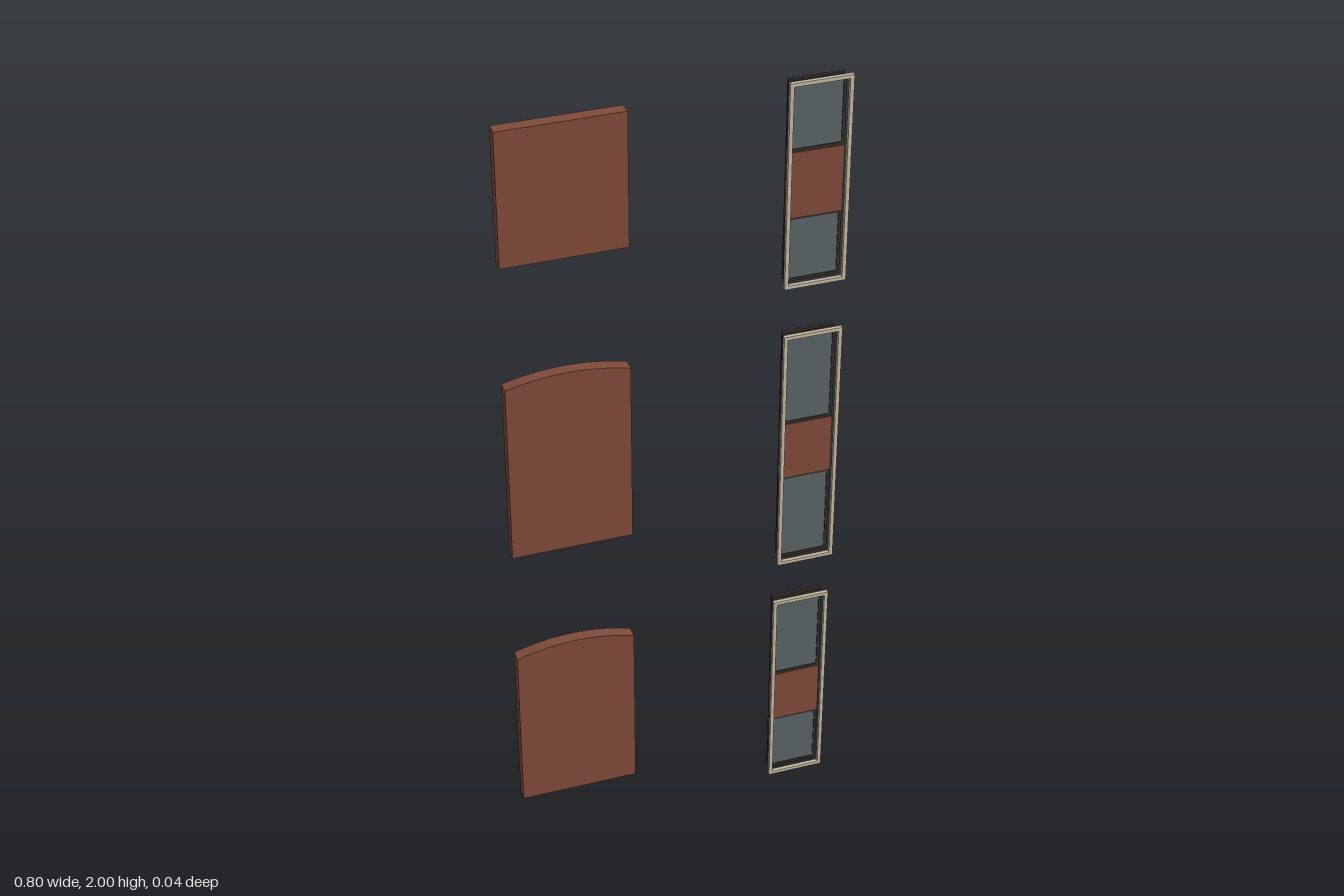
import * as THREE from 'three';

const mat = (name, color) => {
  const m = new THREE.MeshStandardMaterial({ color });
  m.name = name;
  return m;
};

export function createModel() {
  const brick = mat('brick red', 0x7f4b3a);
  const glass = mat('grey glass', 0x5a6364);
  const stone = mat('beige trim', 0xc4b8a2);
  const dark = mat('dark frame', 0x35302c);
  const model = new THREE.Group();
  model.name = 'facadePanels';

  // box from its limits on each axis
  function box(name, m, x0, x1, y0, y1, z0, z1) {
    const mesh = new THREE.Mesh(new THREE.BoxGeometry(x1 - x0, y1 - y0, z1 - z0), m);
    mesh.position.set((x0 + x1) / 2, (y0 + y1) / 2, (z0 + z1) / 2);
    mesh.name = name;
    return mesh;
  }

  // rectangular ring with border width b
  function ring(name, m, x0, x1, y0, y1, z0, z1, b) {
    const s = new THREE.Shape();
    s.moveTo(x0, y0).lineTo(x1, y0).lineTo(x1, y1).lineTo(x0, y1).closePath();
    const h = new THREE.Path();
    h.moveTo(x0 + b, y0 + b).lineTo(x0 + b, y1 - b).lineTo(x1 - b, y1 - b).lineTo(x1 - b, y0 + b).closePath();
    s.holes.push(h);
    const g = new THREE.ExtrudeGeometry(s, { depth: z1 - z0, bevelEnabled: false });
    const mesh = new THREE.Mesh(g, m);
    mesh.position.z = z0;
    mesh.name = name;
    return mesh;
  }

  // wall panels: bottom, shoulder height, rise of the arched top
  const panels = [[1.655, 1.99, 0], [0.862, 1.336, 0.02], [0.096, 0.552, 0.023]];
  for (const [y0, y1, rise] of panels) {
    const x0 = -0.402, x1 = -0.108;
    const s = new THREE.Shape();
    s.moveTo(x0, y0).lineTo(x1, y0).lineTo(x1, y1);
    if (rise) s.quadraticCurveTo((x0 + x1) / 2, y1 + 2 * rise, x0, y1);
    else s.lineTo(x0, y1);
    s.closePath();
    const g = new THREE.ExtrudeGeometry(s, { depth: 0.03, bevelEnabled: false, curveSegments: 16 });
    const mesh = new THREE.Mesh(g, brick);
    mesh.position.z = -0.022;
    mesh.name = rise ? 'archedWallPanel' : 'flatWallPanel';
    model.add(mesh);
  }

  // windows: trim limits in x and y, then spandrel limits in y
  const windows = [
    [0.253, 0.4, 1.48, 2, 1.655, 1.82],
    [0.256, 0.398, 0.688, 1.351, 0.938, 1.092],
    [0.249, 0.391, 0, 0.572, 0.176, 0.322],
  ];
  for (const [x0, x1, y0, y1, s0, s1] of windows) {
    const w = new THREE.Group();
    w.name = 'windowUnit';
    const a = x0 + 0.008, b = x1 - 0.009, c = y0 + 0.008, d = y1 - 0.008;
    w.add(ring('outerTrim', stone, x0, x1, y0, y1, 0.01, 0.02, 0.009));
    w.add(box('backPlate', dark, a, b, c, d, -0.022, -0.014));
    w.add(box('spandrel', brick, a, b, s0, s1, -0.014, 0.002));
    // a framed pane below and above the spandrel
    for (const [p, q] of [[c, s0], [s1, d]]) {
      w.add(ring('paneFrame', dark, a, b, p, q, -0.006, 0, 0.007));
      w.add(box('glassPane', glass, a + 0.006, b - 0.006, p + 0.006, q - 0.006, -0.0055, -0.0025));
    }
    model.add(w);
  }
  return model;
}
